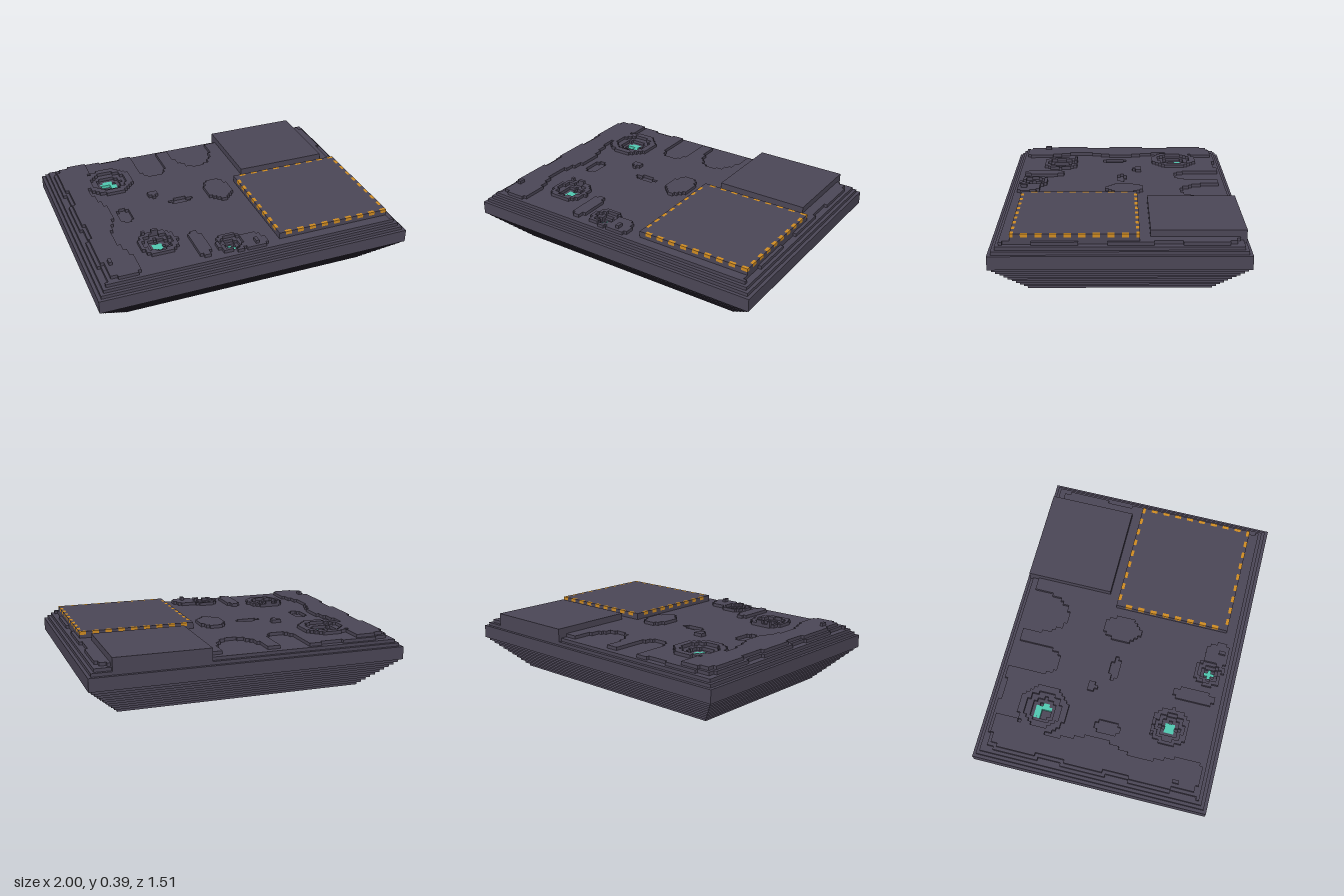
import * as THREE from 'three';
import { mergeGeometries } from 'three/addons/utils/BufferGeometryUtils.js';

const NX = 97, NZ = 73, V = 2 / NX; // grid cells and cell size

// Box spanning grid cells i0..i1, layers k0..k1, rows j0..j1 (upper ends exclusive)
function block(i0, i1, k0, k1, j0, j1) {
  const g = new THREE.BoxGeometry((i1 - i0) * V, (k1 - k0) * V, (j1 - j0) * V);
  g.translate(((i0 + i1 - NX) / 2) * V, ((k0 + k1) / 2) * V, ((j0 + j1 - NZ) / 2) * V);
  return g;
}

// Craters: centre i, centre j, radius
const craters = [[18.6, 17.5, 7.6], [22.6, 56.5, 5.9], [42.8, 64.3, 4.6]];

// Terrain patches: centre i, centre j, half width, half depth, height in layers
const patches = [
  [33.8, 61.3, 2.3, 6.8, 18], [50, 34.8, 4.2, 5.8, 18], [49, 66.5, 3.8, 4.8, 18],
  [29.5, 30.3, 1.4, 1.2, 18], [37, 35.8, 3.6, 1.6, 16], [18, 38.2, 2.2, 4.2, 16],
  [34.5, 9, 5, 9.5, 16], [50, 6, 7, 11, 16],
];

// Loose raised cells: i0, i1, j0, j1
const bumps = [[4, 7, 61, 63], [19, 20, 51, 52], [22, 24, 51, 52], [49, 50, 66, 68]];

// Ground height in layers at one cell
function groundHeight(i, j) {
  const x = i + 0.5, z = j + 0.5;
  let h = 17;
  if (x < 12.5 + 1.5 * Math.sin(z * 0.22)) h = 18;
  for (const [ci, cj, ri, rj, level] of patches) {
    if (((x - ci) / ri) ** 2 + ((z - cj) / rj) ** 2 < 1) h = level;
  }
  for (const [ci, cj, r] of craters) {
    const d = Math.hypot(x - ci, z - cj) / r;
    if (d < 1) h = d > 0.74 ? 18 : d > 0.52 ? 17 : d > 0.34 ? 16 : 15;
  }
  for (const [i0, i1, j0, j1] of bumps) {
    if (i >= i0 && i < i1 && j >= j0 && j < j1) h = 19;
  }
  // Stepped, slightly worn outer rim
  const inset = Math.min(i, j, NX - 1 - i, NZ - 1 - j);
  const worn = inset > 2 && Math.sin(i * 0.35) + Math.sin(j * 0.3 + 1) > 1.3 ? 1 : 0;
  return Math.min(h, 14 + inset - worn);
}

export function createModel() {
  const rock = new THREE.MeshStandardMaterial({ color: 0x4b4656 });
  rock.name = 'dark slate';
  const amber = new THREE.MeshStandardMaterial({ color: 0xd08c22 });
  amber.name = 'amber';
  const teal = new THREE.MeshStandardMaterial({ color: 0x50c8b0 });
  teal.name = 'teal';

  const model = new THREE.Group();
  model.name = 'voxelPlatform';
  const add = (name, blocks, material) => {
    const mesh = new THREE.Mesh(mergeGeometries(blocks), material);
    mesh.name = name;
    model.add(mesh);
  };

  // Stepped hull widening up to a straight band
  const hull = [block(0, NX, 10, 14, 0, NZ)];
  for (let k = 0; k < 10; k++) {
    const n = 10 - k;
    hull.push(block(n, NX - n, k, k + 1, n, NZ - n));
  }
  add('hull', hull, rock);

  // Ground: each row is split into runs of equal height
  const ground = [];
  for (let j = 0; j < NZ; j++) {
    let start = 0;
    for (let i = 1; i <= NX; i++) {
      const h = groundHeight(start, j);
      if (i < NX && groundHeight(i, j) === h) continue;
      if (h > 14) ground.push(block(start, i, 14, h, j, j + 1));
      start = i;
    }
  }
  add('ground', ground, rock);

  // Raised block at the back
  add('raisedBlock', [block(61, 90, 14, 19, 1, 28)], rock);

  // Square pad with a dashed border
  const P = { i0: 57, i1: 93, j0: 31, j1: 67 };
  const pad = [
    block(P.i0, P.i1, 14, 18, P.j0, P.j1),
    block(P.i0 + 1, P.i1 - 1, 18, 19, P.j0 + 1, P.j1 - 1),
  ];
  const dashes = [];
  for (let i = P.i0; i < P.i1; i++) {
    const target = i % 4 === 3 || i % 4 === 0 ? dashes : pad;
    for (const j of [P.j0, P.j1 - 1]) target.push(block(i, i + 1, 18, 19, j, j + 1));
  }
  for (let j = P.j0 + 1; j < P.j1 - 1; j++) {
    const target = j % 4 > 1 ? dashes : pad;
    for (const i of [P.i0, P.i1 - 1]) target.push(block(i, i + 1, 18, 19, j, j + 1));
  }
  add('pad', pad, rock);
  add('padDashes', dashes, amber);

  // Crystals on the crater floors
  add('crystals', [
    block(16, 20, 15, 16, 15, 17), block(19, 21, 15, 16, 17, 20),
    block(21, 24, 15, 16, 55, 58),
    block(41, 44, 15, 15.5, 64, 65), block(42, 43, 15, 15.5, 63, 66),
  ], teal);

  return model;
}
